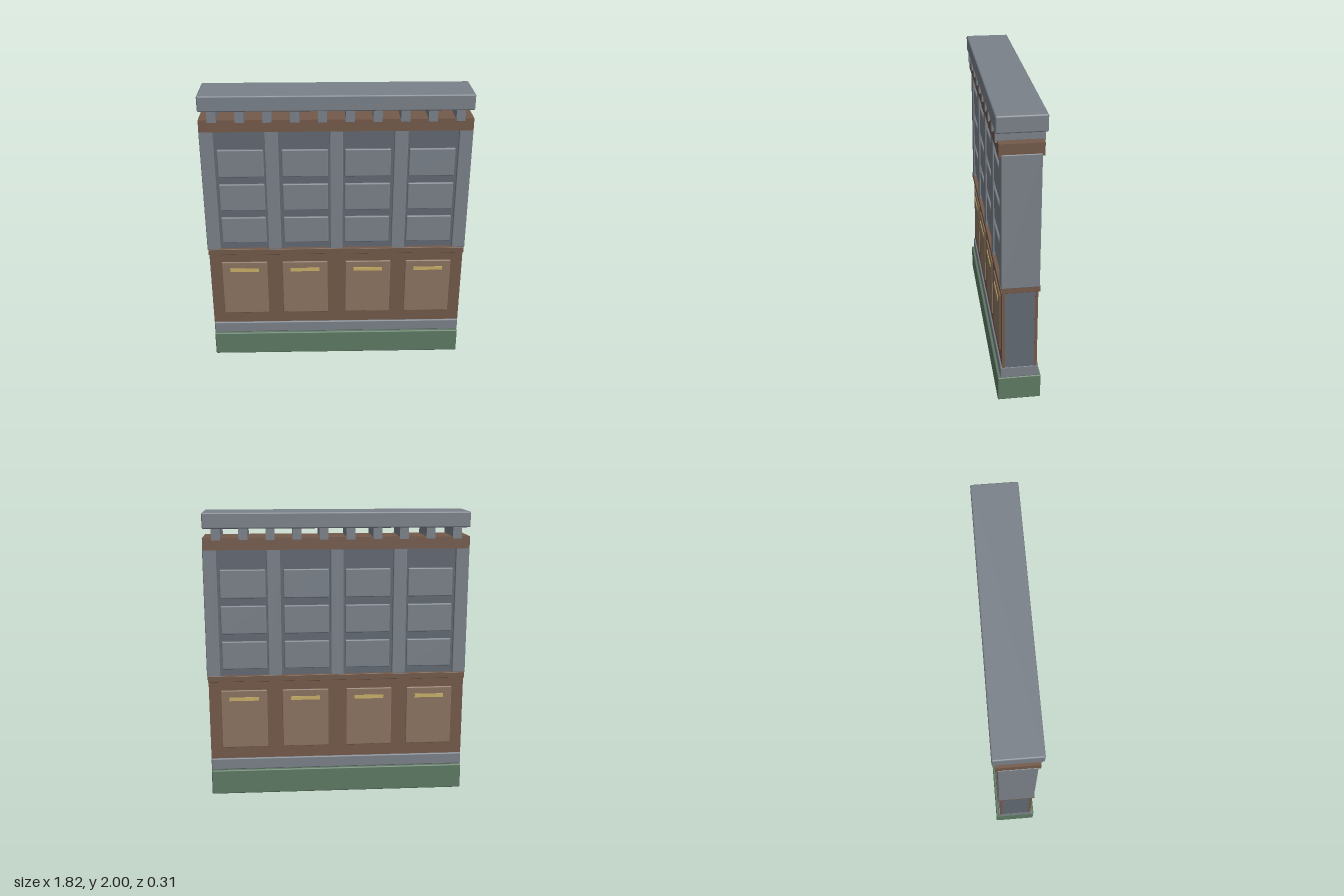
import * as THREE from 'three';
import { RoundedBoxGeometry } from 'three/addons/geometries/RoundedBoxGeometry.js';

const paint = (color) => new THREE.MeshStandardMaterial({ color });

export function createModel() {
  const model = new THREE.Group();
  model.name = 'panelledWall';
  const slate = paint(0x7a8189), darkSlate = paint(0x626973), green = paint(0x5f7a64);
  const wood = paint(0x735a4a), lightWood = paint(0x8c7460), brass = paint(0xc8b068);

  // Box given by its limits on each axis, with an optional softened edge
  function block(parent, name, mat, [x0, x1], [y0, y1], [z0, z1], edge = 0) {
    const w = x1 - x0, h = y1 - y0, d = z1 - z0;
    const geo = edge ? new RoundedBoxGeometry(w, h, d, 2, edge) : new THREE.BoxGeometry(w, h, d);
    const mesh = new THREE.Mesh(geo, mat);
    mesh.name = name;
    mesh.position.set((x0 + x1) / 2, (y0 + y1) / 2, (z0 + z1) / 2);
    parent.add(mesh);
  }
  const span = (c, size) => [c - size / 2, c + size / 2];

  // Full-depth horizontal courses, bottom to top
  block(model, 'base', green, [-0.9, 0.9], [0, 0.178], [-0.143, 0.143], 0.008);
  block(model, 'plinth', slate, [-0.9, 0.9], [0.178, 0.262], [-0.126, 0.126], 0.008);
  block(model, 'core', darkSlate, [-0.898, 0.898], [0.25, 1.76], [-0.1, 0.1]);
  block(model, 'counterRail', wood, [-0.904, 0.904], [0.83, 0.872], [-0.127, 0.127], 0.003);
  block(model, 'frieze', wood, [-0.905, 0.905], [1.75, 1.832], [-0.136, 0.136]);
  block(model, 'cornice', slate, [-0.903, 0.903], [1.893, 2], [-0.154, 0.154], 0.01);

  // Pillars
  for (const x of [-0.863, -0.433, 0, 0.433, 0.863]) {
    block(model, 'pillar', slate, span(x, x ? 0.092 : 0.088), [0.868, 1.765], [-0.122, 0.122], 0.006);
  }

  // Brackets carrying the cornice
  for (let i = 0; i < 10; i++) {
    block(model, 'bracket', slate, span(-0.815 + i * 0.181, 0.06), [1.818, 1.897], [-0.148, 0.148]);
  }

  // The same face on the front and the back
  for (const side of ['front', 'back']) {
    const face = new THREE.Group();
    face.name = side + 'Face';
    if (side === 'back') face.rotation.y = Math.PI;
    block(face, 'woodPanel', wood, [-0.9, 0.9], [0.26, 0.832], [0.095, 0.114]);
    for (const sx of [-1, 1]) {
      for (const x of [0.225, 0.656]) {
        const c = sx * x;
        block(face, 'cupboardDoor', lightWood, span(c, 0.325), [0.343, 0.766], [0.1, 0.122], 0.007);
        block(face, 'doorHandle', brass, span(c, 0.205), [0.69, 0.716], [0.11, 0.126]);
      }
      for (const x of [0.212, 0.645]) {
        for (let row = 0; row < 3; row++) {
          block(face, 'raisedPanel', slate, span(sx * x, 0.312), span(1.016 + row * 0.25, 0.198), [0.085, 0.114], 0.008);
        }
      }
    }
    model.add(face);
  }
  return model;
}
